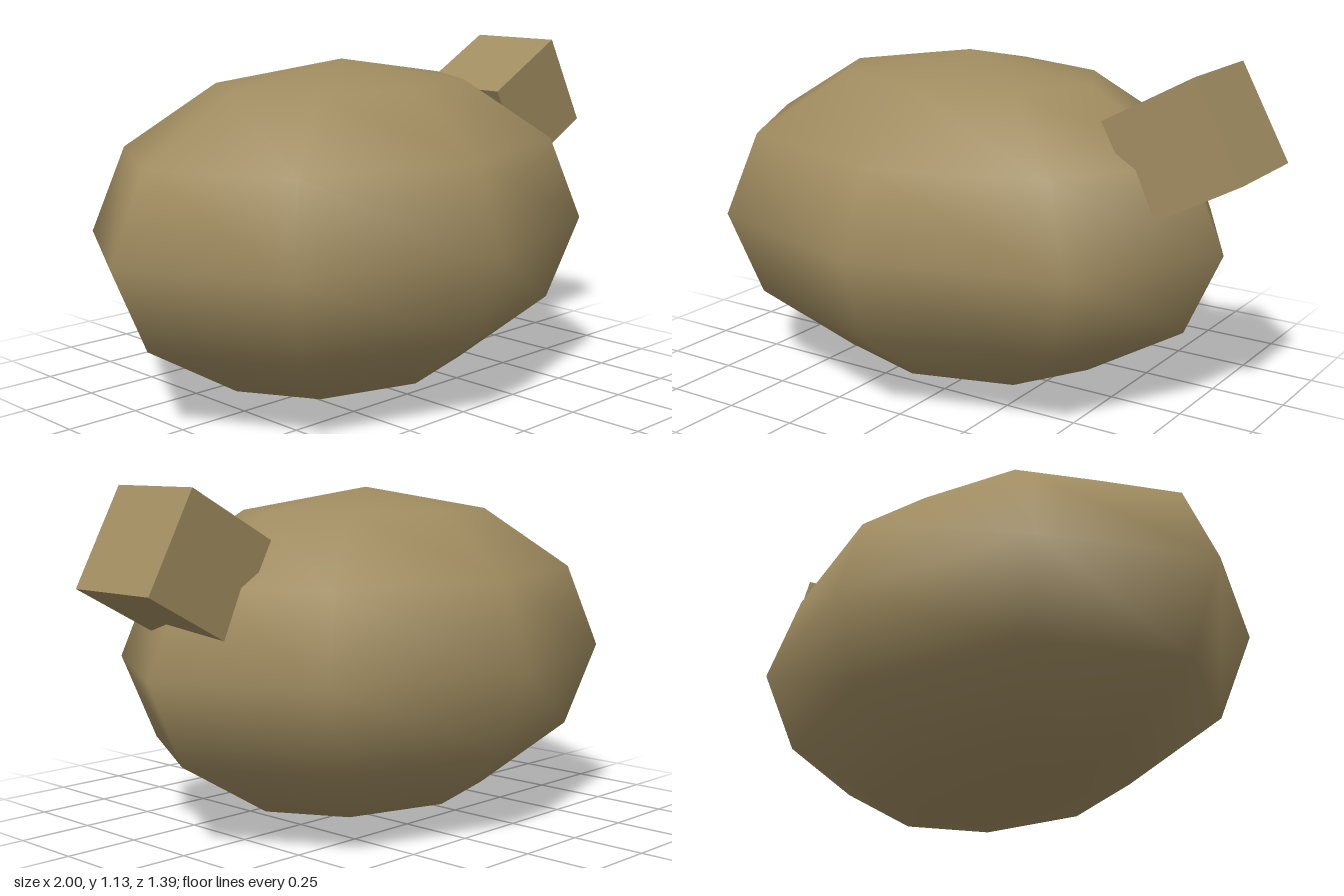
import * as THREE from 'three';

export function createModel() {
  const group = new THREE.Group();
  const tan = new THREE.MeshStandardMaterial({ color: 0xa08c60 });
  tan.name = 'tan';

  // Coarse, smooth-shaded ellipsoid body
  const body = new THREE.Mesh(new THREE.SphereGeometry(1, 8, 6), tan);
  body.name = 'body';
  body.scale.set(0.938, 0.555, 0.695);
  body.position.set(-0.062, 0.555, 0);
  group.add(body);

  // Tilted cube head set into the upper left end
  const head = new THREE.Mesh(new THREE.BoxGeometry(0.344, 0.344, 0.344), tan);
  head.name = 'head';
  head.position.set(0.766, 0.899, 0);
  head.rotation.z = 0.5;
  group.add(head);

  return group;
}
